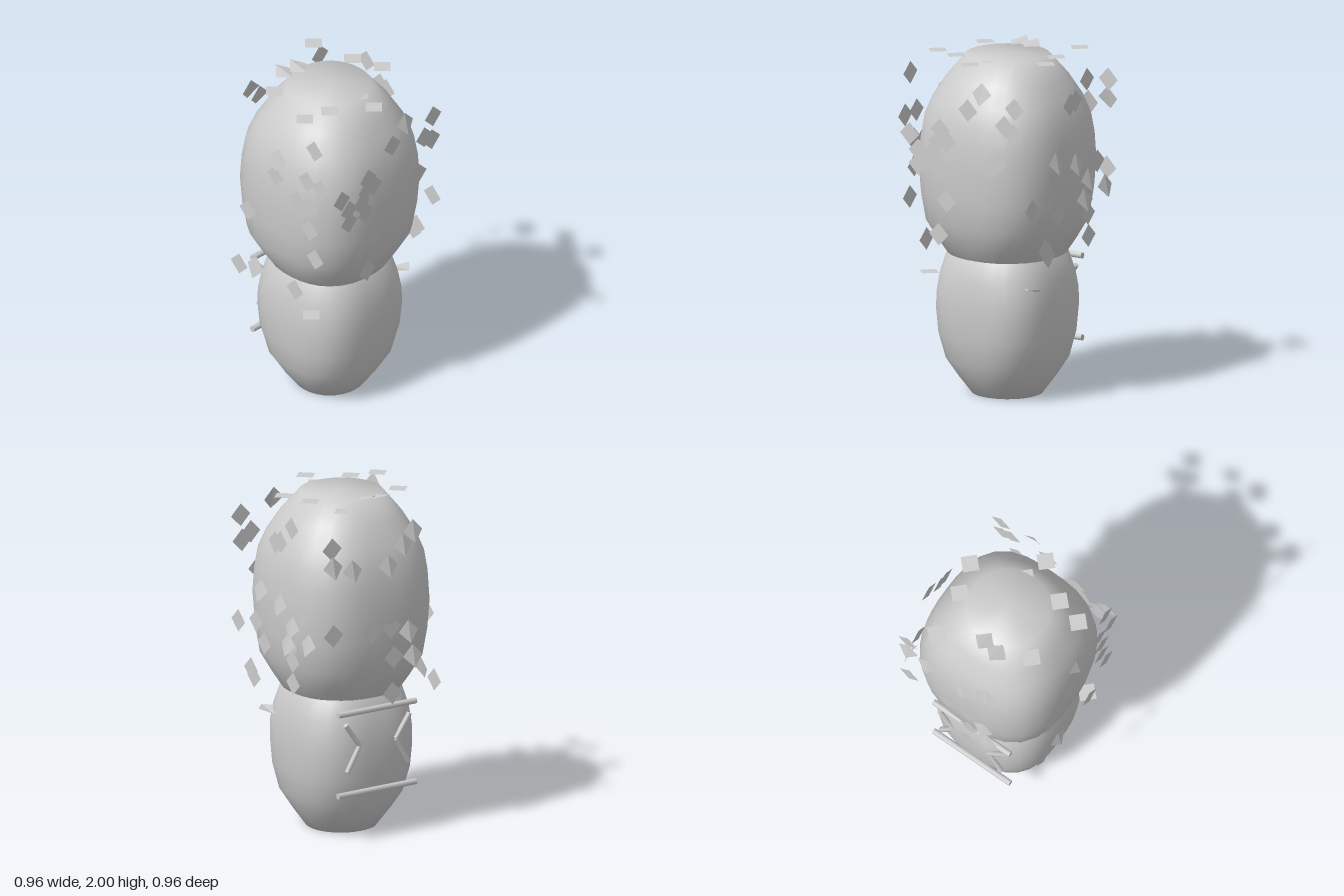
import * as THREE from 'three';

const grey = new THREE.MeshStandardMaterial({ color: 0xcccccc });
const thin = new THREE.MeshStandardMaterial({ color: 0xcccccc, side: THREE.DoubleSide });

// Smooth closed body from rounded-square rings: [height, half width, squareness]
function roundedBody(name, rings) {
  const N = 32, pos = [], idx = [];
  for (const [y, r, n] of rings) {
    for (let i = 0; i < N; i++) {
      const a = (i / N) * Math.PI * 2, c = Math.cos(a), s = Math.sin(a);
      const k = r / Math.pow(Math.abs(c) ** n + Math.abs(s) ** n, 1 / n);
      pos.push(k * c, y, k * s);
    }
  }
  const bottom = rings.length * N, top = bottom + 1, last = (rings.length - 1) * N;
  pos.push(0, rings[0][0], 0, 0, rings[rings.length - 1][0], 0);
  for (let i = 0; i < N; i++) {
    const j = (i + 1) % N;
    for (let b = 0; b < last; b += N) {
      idx.push(b + i, b + N + i, b + j, b + j, b + N + i, b + N + j);
    }
    idx.push(bottom, i, j, top, last + j, last + i);
  }
  const g = new THREE.BufferGeometry();
  g.setAttribute('position', new THREE.Float32BufferAttribute(pos, 3));
  g.setIndex(idx);
  g.computeVertexNormals();
  const m = new THREE.Mesh(g, grey);
  m.name = name;
  return m;
}

// Diamond leaf, split down its height; its lower tip may lift off the plane
function leafGeometry(lift) {
  const h = 0.067;
  const g = new THREE.BufferGeometry();
  g.setAttribute('position', new THREE.Float32BufferAttribute(
    [0, h, 0, -h, 0, 0, 0, -h, lift, 0, h, 0, 0, -h, lift, h, 0, 0], 3));
  g.computeVertexNormals();
  return g;
}
const flatLeaf = leafGeometry(0), foldedLeaf = leafGeometry(0.03);

// One plane of leaves: local x runs across, y up, z outward
function leafPlane(name, position, rotation, flat, folded) {
  const group = new THREE.Group();
  group.name = name;
  group.position.set(...position);
  group.rotation.set(...rotation);
  const add = (geometry) => ([x, y]) => {
    const m = new THREE.Mesh(geometry, thin);
    m.name = 'leaf';
    m.position.set(x, y, 0);
    group.add(m);
  };
  flat.forEach(add(flatLeaf));
  folded.forEach(add(foldedLeaf));
  return group;
}

// Straight rod between two points
function rod(name, a, b, radius) {
  const A = new THREE.Vector3(...a), B = new THREE.Vector3(...b);
  const m = new THREE.Mesh(new THREE.CylinderGeometry(radius, radius, A.distanceTo(B), 8), grey);
  m.name = name;
  m.position.copy(A).lerp(B, 0.5);
  m.quaternion.setFromUnitVectors(new THREE.Vector3(0, 1, 0), B.sub(A).normalize());
  return m;
}

export function createModel() {
  const model = new THREE.Group();
  model.name = 'model';

  // Lower and upper rounded bodies
  model.add(roundedBody('lowerBody', [
    [0, 0.2, 2.1], [0.1, 0.268, 2.3], [0.21, 0.328, 2.6], [0.36, 0.357, 2.9], [0.5, 0.366, 3],
    [0.6, 0.364, 3], [0.7, 0.353, 2.8], [0.81, 0.325, 2.6], [0.9, 0.268, 2.3], [1, 0.2, 2.1],
  ]));
  model.add(roundedBody('upperBody', [
    [0.72, 0.23, 2.1], [0.81, 0.315, 2.4], [0.9, 0.365, 2.6], [1.02, 0.425, 2.8], [1.18, 0.443, 3],
    [1.35, 0.455, 3], [1.5, 0.446, 3], [1.62, 0.43, 2.9], [1.73, 0.393, 2.7], [1.85, 0.33, 2.4],
    [1.975, 0.235, 2.1],
  ]));

  // Leaves on the planes around the upper body
  const P = Math.PI, d = 0.45;
  model.add(leafPlane('frontLeaves', [0, 0, d], [0, 0, 0], [
    [0.05, 1.73], [0.38, 1.78], [0.31, 1.67], [0.37, 1.63], [0.26, 1.45], [0.22, 1.42],
    [-0.36, 1.54], [-0.145, 1.59], [-0.1, 1.53], [-0.16, 1.52], [-0.2, 1.45], [-0.3, 1.45],
    [-0.3, 1.37], [-0.16, 1.37], [-0.1, 1.18], [-0.155, 0.98],
  ], [[0.15, 1.84]]));
  model.add(leafPlane('leftLeaves', [d, 0, 0], [0, P / 2, 0], [
    [-0.01, 1.735], [0.04, 1.75], [0.15, 1.855], [0.25, 1.36], [-0.2, 1.225], [-0.375, 1.185],
    [-0.12, 1.11], [0.14, 1.15], [0.16, 1.07], [0.165, 0.94], [-0.25, 0.93], [-0.22, 0.89],
  ], [[0.32, 1.205], [0.16, 1.27], [0.12, 1.16], [0.04, 1.38], [-0.15, 1.42]]));
  model.add(leafPlane('rightLeaves', [-d, 0, 0], [0, -P / 2, 0], [
    [0.32, 1.86], [0.37, 1.62], [0.26, 1.63], [0.285, 1.465], [0.185, 1.465], [0.01, 1.56],
    [0.325, 1.135], [0.165, 0.86], [0.28, 1.31], [-0.21, 1.23], [-0.28, 0.84],
  ], [[0.035, 1.68], [-0.145, 0.88]]));
  model.add(leafPlane('backLeaves', [0, 0, -d], [0, P, 0], [
    [-0.38, 1.79], [-0.37, 1.275], [0.05, 1.08], [0.03, 1.26], [-0.1, 1.25], [0.04, 0.87],
  ], [[-0.375, 1.68], [-0.24, 1.64], [0.01, 1.63], [0.11, 1.74], [0.18, 1.81], [0.15, 1.22],
    [0.18, 1.07]]));
  model.add(leafPlane('topLeaves', [0, 1.974, 0], [-P / 2, 0, P], [
    [-0.24, -0.365], [0.28, -0.165], [-0.277, -0.09], [-0.335, 0.09], [0.37, 0.165],
    [0.21, 0.205], [0.005, 0.355], [-0.03, 0.205],
  ], [[0.105, -0.26], [0.01, -0.24]]));
  model.add(leafPlane('undersideLeaves', [0, 0.69, 0], [P / 2, 0, 0],
    [[-0.385, 0.23]], [[0.345, 0.23]]));

  // Back trim: two crossbars and a mirrored pair of angled brackets
  for (const y of [0.763, 0.284]) {
    model.add(rod('crossbar', [-0.27, y, -0.352], [0.27, y, -0.352], 0.018));
  }
  for (const s of [-1, 1]) {
    const bend = [s * 0.125, 0.565, -0.36];
    model.add(rod('bracketUpper', [s * 0.222, 0.7, -0.36], bend, 0.015));
    model.add(rod('bracketLower', bend, [s * 0.212, 0.418, -0.36], 0.015));
  }
  return model;
}
